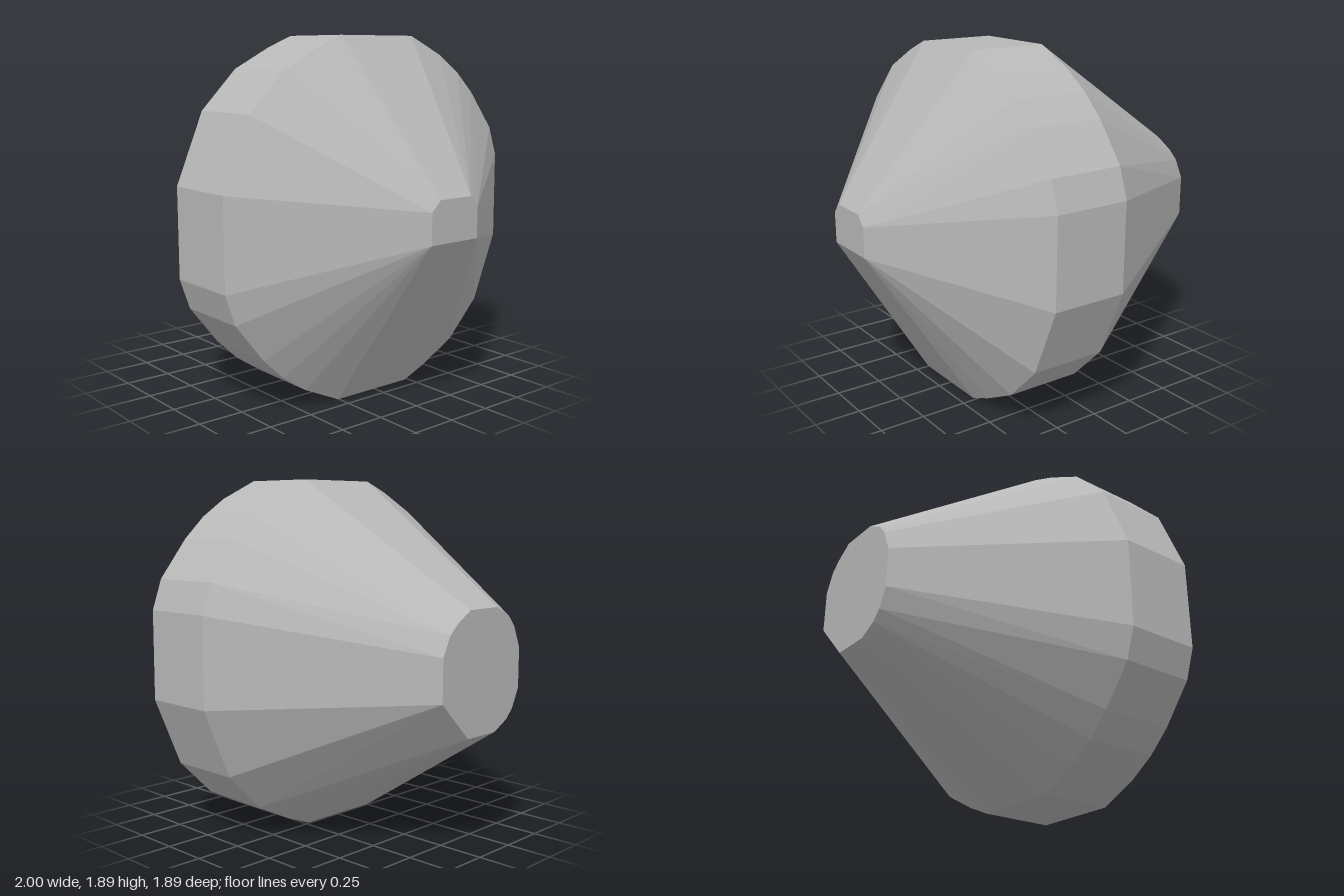
import * as THREE from 'three';
import { ConvexGeometry } from 'three/addons/geometries/ConvexGeometry.js';

const MID_Y = 0.95;

// Outline as [z, y] pairs placed at x; tilt leans the outline slightly
function section(x, outline, tilt = 0) {
  return outline.map(([z, y]) =>
    new THREE.Vector3(x - tilt * (y - MID_Y) - tilt * 0.7 * z, y, z));
}

export function createModel() {
  const group = new THREE.Group();
  group.name = 'facetedStone';
  const stoneGrey = new THREE.MeshStandardMaterial({ color: 0xb8b8b8 });
  stoneGrey.name = 'stoneGrey';

  // Half of the wide belt; the other half is its half-turn
  const halfBelt = [
    [0.23, 1.895], [-0.255, 1.895], [-0.47, 1.795], [-0.61, 1.7], [-0.73, 1.585],
    [-0.89, 1.38], [-0.945, 1.22], [-0.945, 0.745], [-0.79, 0.375], [-0.587, 0.17], [-0.375, 0.06],
  ];
  const belt = [...halfBelt, ...halfBelt.map(([z, y]) => [-z, 2 * MID_Y - 0.005 - y])];

  // Broad blunt end
  const bluntEnd = [
    [0.1, 1.26], [-0.12, 1.26], [-0.22, 1.2], [-0.275, 1.15], [-0.325, 1.05], [-0.325, 0.83],
    [-0.12, 0.63], [0.1, 0.63], [0.2, 0.68], [0.25, 0.73], [0.3, 0.83], [0.3, 1.04],
    [0.25, 1.155], [0.2, 1.21],
  ];

  // Small six-sided tip
  const tip = [
    [0.165, 0.905], [-0.15, 0.905], [-0.15, 1.065], [-0.1, 1.12], [0.11, 1.12], [0.165, 1.065],
  ];

  // Flat-faceted skin around the four sections
  const geometry = new ConvexGeometry([
    ...section(-1, bluntEnd),
    ...section(0, belt, 0.007),
    ...section(0.417, belt, 0.007),
    ...section(1, tip),
  ]);
  const body = new THREE.Mesh(geometry, stoneGrey);
  body.name = 'stoneBody';
  group.add(body);
  return group;
}
